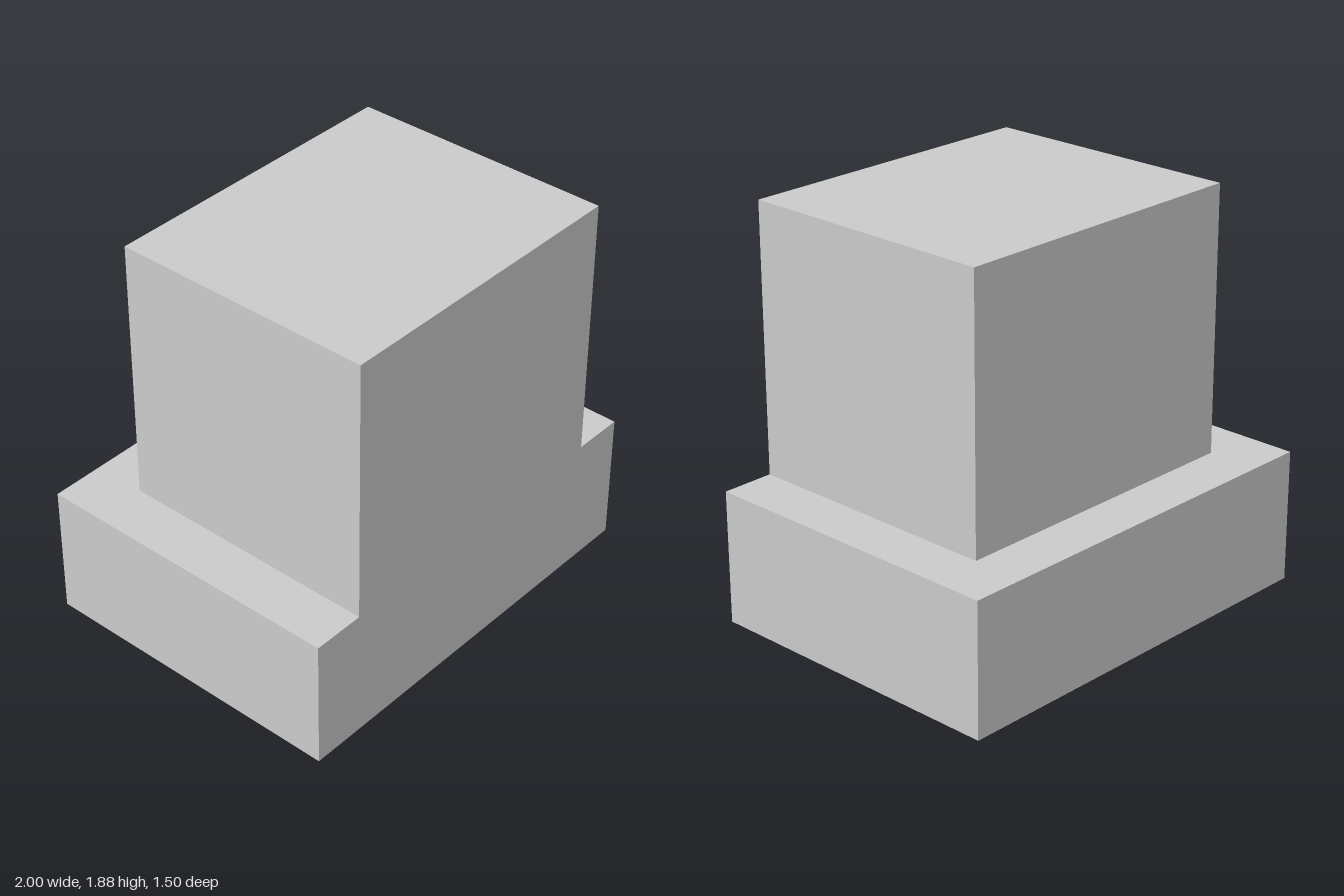
import * as THREE from 'three';
import { mergeGeometries } from 'three/addons/utils/BufferGeometryUtils.js';

const BASE = { w: 2, h: 0.625, d: 1.5 };
const BLOCK = { w: 1.5, h: 1.25, d: 1.25 };
const FRONT = BASE.d / 2;
const TOP = BASE.h + BLOCK.h;
const BLOCK_Z = FRONT - BLOCK.d / 2; // block sits flush with the front of the base
const Q = Math.PI / 2;

// Flat face turned about x and y, then moved into place
function place(geometry, rx, ry, x, y, z) {
  return geometry.rotateX(rx).rotateY(ry).translate(x, y, z);
}
const rect = (w, h, ...at) => place(new THREE.PlaneGeometry(w, h), ...at);
const panel = (points, ...at) =>
  place(new THREE.ShapeGeometry(new THREE.Shape(points.map(p => new THREE.Vector2(...p)))), ...at);

export function createModel() {
  const bw = BASE.w / 2, kw = BLOCK.w / 2;
  const kBack = BLOCK.d - FRONT;
  const faces = [
    // One continuous stepped front
    panel([[-bw, 0], [bw, 0], [bw, BASE.h], [kw, BASE.h], [kw, TOP], [-kw, TOP], [-kw, BASE.h], [-bw, BASE.h]],
      0, 0, 0, 0, FRONT),
    // U-shaped ledge around the upper block
    panel([[-bw, -FRONT], [-kw, -FRONT], [-kw, kBack], [kw, kBack], [kw, -FRONT], [bw, -FRONT], [bw, FRONT], [-bw, FRONT]],
      -Q, 0, 0, BASE.h, 0),
    // Top and underside
    rect(BLOCK.w, BLOCK.d, -Q, 0, 0, TOP, BLOCK_Z),
    rect(BASE.w, BASE.d, Q, 0, 0, 0, 0),
    // Backs of base and block
    rect(BASE.w, BASE.h, 0, Math.PI, 0, BASE.h / 2, -FRONT),
    rect(BLOCK.w, BLOCK.h, 0, Math.PI, 0, BASE.h + BLOCK.h / 2, -kBack),
  ];
  // Mirrored sides of base and block
  for (const s of [-1, 1]) {
    faces.push(rect(BASE.d, BASE.h, 0, s * Q, s * bw, BASE.h / 2, 0));
    faces.push(rect(BLOCK.d, BLOCK.h, 0, s * Q, s * kw, BASE.h + BLOCK.h / 2, BLOCK_Z));
  }

  const body = new THREE.Mesh(
    mergeGeometries(faces),
    new THREE.MeshStandardMaterial({ color: 0xcccccc, flatShading: true })
  );
  body.name = 'steppedBlock';

  const group = new THREE.Group();
  group.name = 'blockOnBase';
  group.add(body);
  return group;
}
